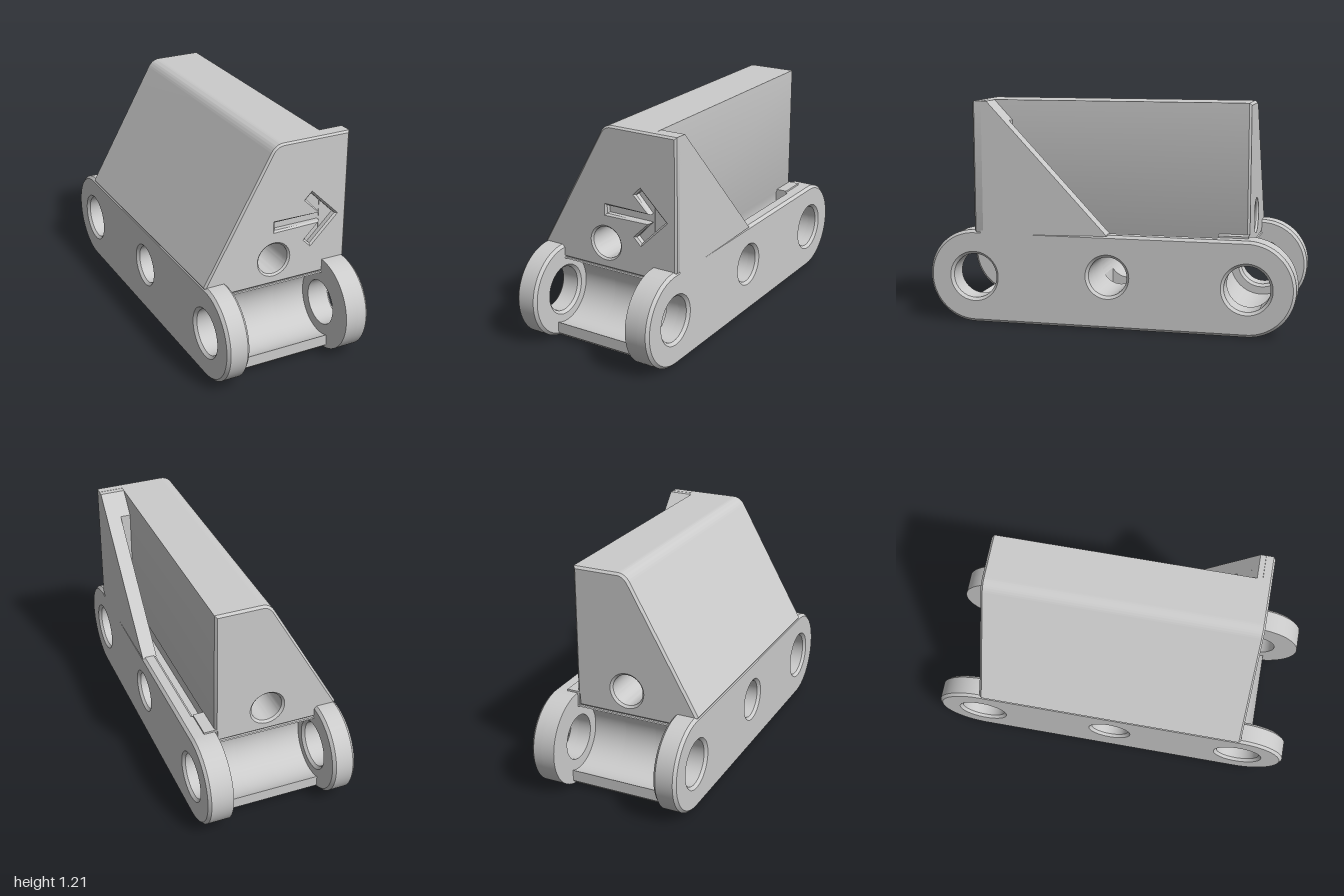
import * as THREE from 'three';
import { toCreasedNormals } from 'three/addons/utils/BufferGeometryUtils.js';

const material = new THREE.MeshStandardMaterial({ color: 0xcccccc });

// Extrude with the bevel kept inside the outline and the given depth
function extrude(shape, depth, bevel) {
  return new THREE.ExtrudeGeometry(shape, {
    depth: depth - 2 * bevel, curveSegments: 32, bevelEnabled: bevel > 0,
    bevelThickness: bevel, bevelSize: bevel, bevelOffset: -bevel, bevelSegments: 1,
  }).translate(0, 0, bevel);
}

function polygon(points) {
  return new THREE.Shape(points.map(([a, b]) => new THREE.Vector2(a, b)));
}

function circle(a, b, r) {
  return new THREE.Path().absarc(a, b, r, 0, Math.PI * 2, true);
}

const HINGE_Z = 0.745, HINGE_Y = 0.255, BORE_Y = 0.285, BORE_R = 0.105, WALL = 0.275;

// Rounded side plate outline (z, y), optionally with the slot cut in its top
function plateShape(slotted) {
  const s = new THREE.Shape();
  s.moveTo(-HINGE_Z, 0);
  s.absarc(HINGE_Z, HINGE_Y, 0.255, -Math.PI / 2, Math.PI / 2, false);
  if (slotted) {
    s.lineTo(0.56, 0.51);
    s.lineTo(0.56, 0.44);
    s.lineTo(-0.58, 0.44);
    s.lineTo(-0.58, 0.51);
  }
  s.absarc(-HINGE_Z, HINGE_Y, 0.255, Math.PI / 2, Math.PI * 1.5, false);
  s.holes.push(circle(0, BORE_Y, BORE_R));
  for (const side of [-1, 1]) s.holes.push(circle(side * HINGE_Z, HINGE_Y, 0.122));
  return s;
}

// Core outline (z, y) with hollowed ends; the middle slice opens the bore downward
function coreShape(open) {
  const s = new THREE.Shape();
  s.moveTo(-0.82, 0.03);
  s.lineTo(-0.79, 0.003);
  if (open) {
    s.lineTo(-0.09, 0.003);
    s.absarc(0, BORE_Y, BORE_R, Math.PI + 0.54, -0.54, true);
    s.lineTo(0.09, 0.003);
  } else {
    s.holes.push(circle(0, BORE_Y, BORE_R));
  }
  s.lineTo(0.79, 0.003);
  s.lineTo(0.82, 0.03);
  s.absarc(HINGE_Z, HINGE_Y, 0.18, -1.142, -Math.PI * 1.5, true);
  s.lineTo(0.74, 0.44);
  s.lineTo(-0.74, 0.44);
  s.absarc(-HINGE_Z, HINGE_Y, 0.18, Math.PI / 2, -2.0, true);
  return s;
}

// Sloped housing outline (x, y) up to the given right edge
function housingShape(right) {
  const s = new THREE.Shape();
  s.moveTo(-0.405, 0.44);
  s.lineTo(right - 0.005, 0.44);
  s.lineTo(right - 0.005, 0.5);
  s.lineTo(right, 0.51);
  s.lineTo(right, 1.21);
  s.lineTo(0.03, 1.21);
  s.quadraticCurveTo(-0.015, 1.21, -0.04, 1.165);
  s.lineTo(-0.41, 0.51);
  s.lineTo(-0.405, 0.5);
  s.holes.push(circle(-0.015, 0.58, 0.085));
  return s;
}

export function createModel() {
  const group = new THREE.Group();
  const add = (name, geometry) => {
    const mesh = new THREE.Mesh(toCreasedNormals(geometry, 0.5), material);
    mesh.name = name;
    group.add(mesh);
  };
  const alongX = (name, shape, x0, x1, bevel = 0) =>
    add(name, extrude(shape, x1 - x0, bevel).rotateY(-Math.PI / 2).translate(x1, 0, 0));
  const alongZ = (name, shape, z0, z1, bevel = 0) =>
    add(name, extrude(shape, z1 - z0, bevel).translate(0, 0, z0));

  // Side plates with hinge lugs; the left one is layered to leave the slot
  alongX('rightSidePlate', plateShape(false), -0.41, -0.285, 0.015);
  alongX('leftSidePlate', plateShape(false), 0.33, 0.41, 0.015);
  alongX('leftInnerPlate', plateShape(true), WALL, 0.35);

  // Core between the plates, with a square opening below the cross bore
  alongX('coreRight', coreShape(false), -0.3, -0.09);
  alongX('coreMiddle', coreShape(true), -0.09, 0.09);
  alongX('coreLeft', coreShape(false), 0.09, WALL + 0.005);

  // Sloped housing and its full-width front face with the recessed arrow
  alongZ('housing', housingShape(WALL), -0.74, 0.705, 0.012);
  const front = housingShape(0.41);
  front.holes.push(polygon([
    [-0.01, 0.74], [-0.01, 0.785], [0.255, 0.785], [0.17, 0.875], [0.2, 0.905],
    [0.345, 0.763], [0.2, 0.62], [0.17, 0.65], [0.255, 0.74],
  ]));
  alongZ('frontFace', front, 0.68, 0.74, 0.01);

  // Triangular gusset behind the front face, inner layer cut back by the slot
  alongX('gussetOuter', polygon([[0, 0.505], [0.705, 0.49], [0.705, 1.209], [0.66, 1.209]]), 0.33, 0.41);
  alongX('gussetInner', polygon([[0.56, 0.44], [0.705, 0.44], [0.705, 1.209], [0.66, 1.209], [0.56, 1.102]]), WALL - 0.01, 0.34);

  // Small stop at the rear end of the slot
  add('slotStop', new THREE.BoxGeometry(0.07, 0.08, 0.16).translate(0.3, 0.48, -0.66));
  return group;
}
